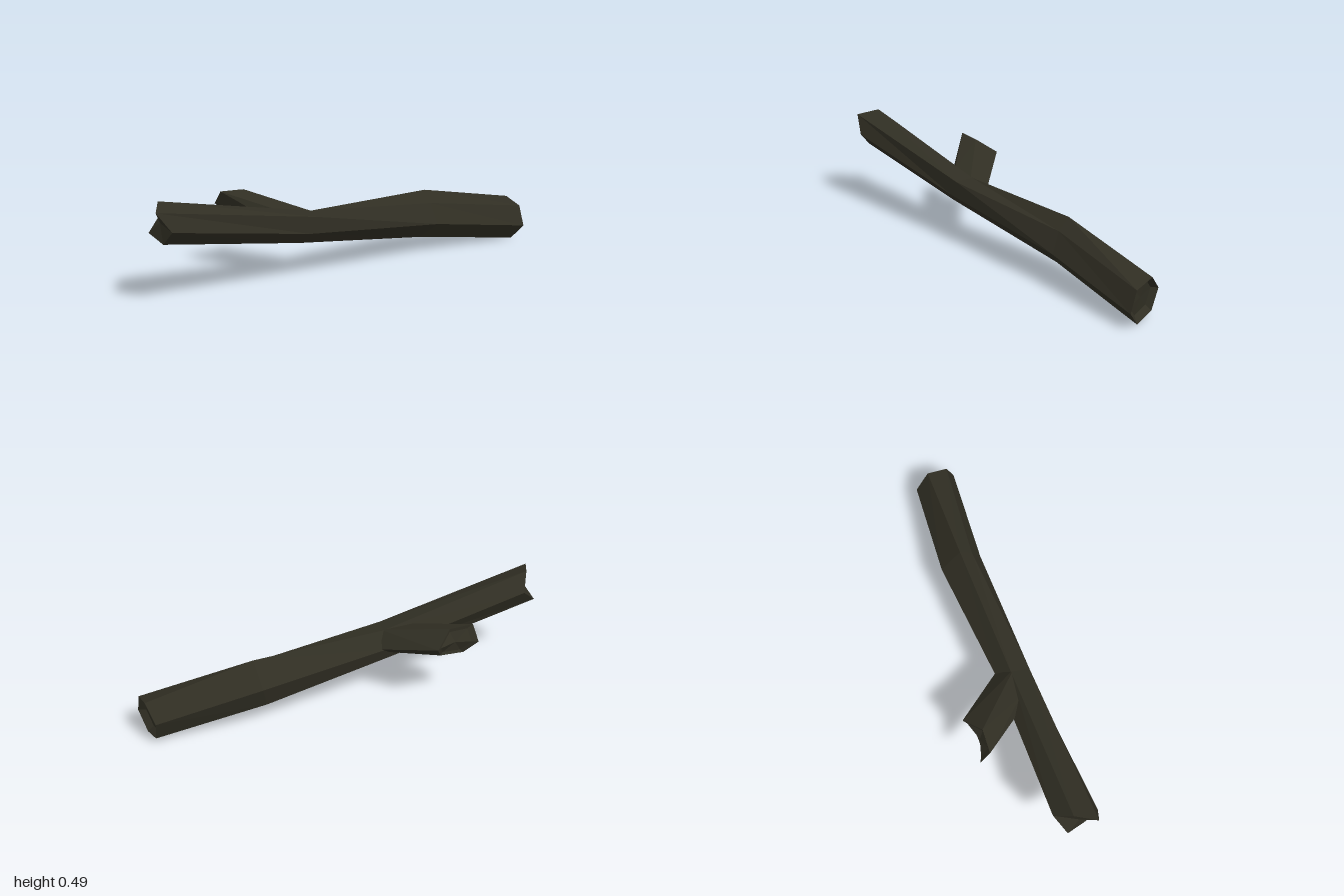
import * as THREE from 'three';

const bark = new THREE.MeshStandardMaterial({ color: 0x302e23, flatShading: true });
bark.name = 'dark bark';

// Inset ring for a cut end, pulled towards the middle and sunk into the wood
function cutEnd(rim, next, depth) {
  const centre = (r) => r.reduce((s, p) => s.add(p), new THREE.Vector3()).divideScalar(r.length);
  const c = centre(rim);
  const sink = centre(next).sub(c).normalize().multiplyScalar(depth);
  return { ring: rim.map((p) => p.clone().lerp(c, 0.24).add(sink)), middle: c.clone().add(sink) };
}

// Skin a row of hexagonal cross-sections, with both cut ends closed
function loft(name, sections, startDepth, endDepth) {
  const rings = sections.map((s) => s.map((p) => new THREE.Vector3(...p)));
  const n = rings.length;
  const start = cutEnd(rings[0], rings[1], startDepth);
  const end = cutEnd(rings[n - 1], rings[n - 2], endDepth);
  const all = [start.ring, ...rings, end.ring];
  const points = [];
  for (let i = 0; i < 6; i++) {
    const j = (i + 1) % 6;
    for (let k = 0; k < all.length - 1; k++) {
      const a = all[k], b = all[k + 1];
      points.push(a[i], b[i], a[j], a[j], b[i], b[j]);
    }
    points.push(start.middle, start.ring[i], start.ring[j]);
    points.push(end.middle, end.ring[j], end.ring[i]);
  }
  const geometry = new THREE.BufferGeometry().setFromPoints(points);
  geometry.computeVertexNormals();
  const mesh = new THREE.Mesh(geometry, bark);
  mesh.name = name;
  return mesh;
}

export function createModel() {
  const group = new THREE.Group();
  group.name = 'fallenBranch';

  // Main limb, from the raised end to the thick end on the ground
  group.add(loft('mainLimb', [
    [[-0.99, 0.475, 0.27], [-0.957, 0.494, 0.162], [-0.925, 0.42, 0.078],
      [-1, 0.345, 0.135], [-0.955, 0.313, 0.225], [-0.925, 0.382, 0.284]],
    [[-0.2, 0.32, 0.105], [-0.2, 0.325, 0.015], [-0.2, 0.255, -0.05],
      [-0.25, 0.2, -0.02], [-0.28, 0.192, 0.077], [-0.24, 0.245, 0.118]],
    [[0.46, 0.268, -0.065], [0.45, 0.322, -0.125], [0.42, 0.215, -0.225],
      [0.4, 0.11, -0.19], [0.41, 0.087, -0.09], [0.48, 0.168, -0.022]],
    [[0.99, 0.183, -0.115], [0.965, 0.21, -0.215], [0.925, 0.128, -0.283],
      [0.93, 0.027, -0.247], [0.965, 0, -0.145], [1, 0.083, -0.08]],
  ], 0, 0.03));

  // Short side stub, from its cut tip into the main limb
  group.add(loft('sideStub', [
    [[-0.597, 0.415, -0.15], [-0.48, 0.41, -0.165], [-0.405, 0.35, -0.247],
      [-0.43, 0.29, -0.2], [-0.55, 0.28, -0.175], [-0.615, 0.345, -0.198]],
    [[-0.33, 0.335, 0.04], [-0.19, 0.322, 0.03], [-0.18, 0.265, -0.06],
      [-0.2, 0.225, -0.02], [-0.32, 0.22, 0.03], [-0.37, 0.28, 0.04]],
  ], 0.01, 0));

  return group;
}
